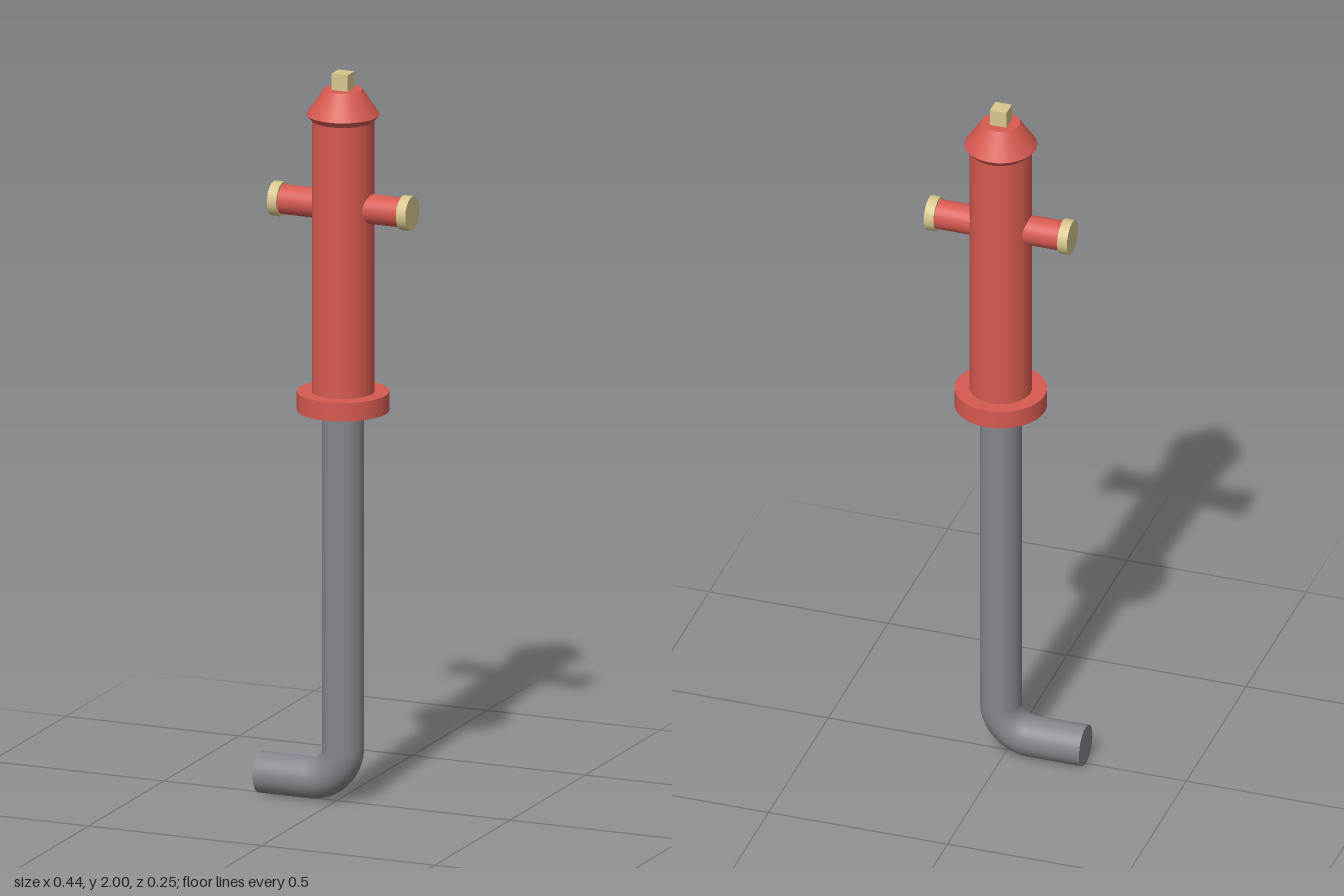
import * as THREE from 'three';

export function createModel() {
  const model = new THREE.Group();
  const mat = (name, color) => {
    const m = new THREE.MeshStandardMaterial({ color });
    m.name = name;
    return m;
  };
  const red = mat('hydrant red', 0xd65a50);
  const grey = mat('pipe grey', 0x85868d);
  const brass = mat('pale brass', 0xd8c68e);

  const CX = 0.018; // axis of the upright body
  const add = (name, geometry, material, x, y) => {
    const mesh = new THREE.Mesh(geometry, material);
    mesh.name = name;
    mesh.position.set(x, y, 0);
    model.add(mesh);
    return mesh;
  };
  // upright cylinder or cone between two heights
  const upright = (name, rBottom, rTop, y0, y1, material) =>
    add(name, new THREE.CylinderGeometry(rTop, rBottom, y1 - y0, 32), material, CX, (y0 + y1) / 2);
  // horizontal cylinder between two x positions
  const sideways = (name, r, x0, x1, y, material) =>
    add(name, new THREE.CylinderGeometry(r, r, Math.abs(x1 - x0), 32).rotateZ(Math.PI / 2), material, (x0 + x1) / 2, y);

  // supply pipe: inlet, elbow and riser
  const R = 0.056, BEND = 0.092;
  sideways('inletPipe', R, -0.219, CX - BEND, R, grey);
  add('pipeElbow', new THREE.TorusGeometry(BEND, R, 32, 16, Math.PI / 2).rotateZ(-Math.PI / 2), grey, CX - BEND, R + BEND);
  upright('riserPipe', R, R, R + BEND, 1.08, grey);

  // body
  upright('baseFlange', 0.123, 0.123, 1.075, 1.126, red);
  upright('barrel', 0.083, 0.083, 1.126, 1.875, red);
  upright('bonnetLip', 0.084, 0.097, 1.87, 1.886, red);
  upright('bonnet', 0.097, 0.051, 1.886, 1.955, red);
  add('operatingNut', new THREE.BoxGeometry(0.046, 0.047, 0.046), brass, CX, 1.9765);

  // side outlets with caps
  for (const [side, s] of [['left', 1], ['right', -1]]) {
    sideways(side + 'Outlet', 0.04, CX + s * 0.04, CX + s * 0.175, 1.634, red);
    sideways(side + 'OutletCap', 0.047, CX + s * 0.173, CX + s * 0.2, 1.634, brass);
  }
  return model;
}
